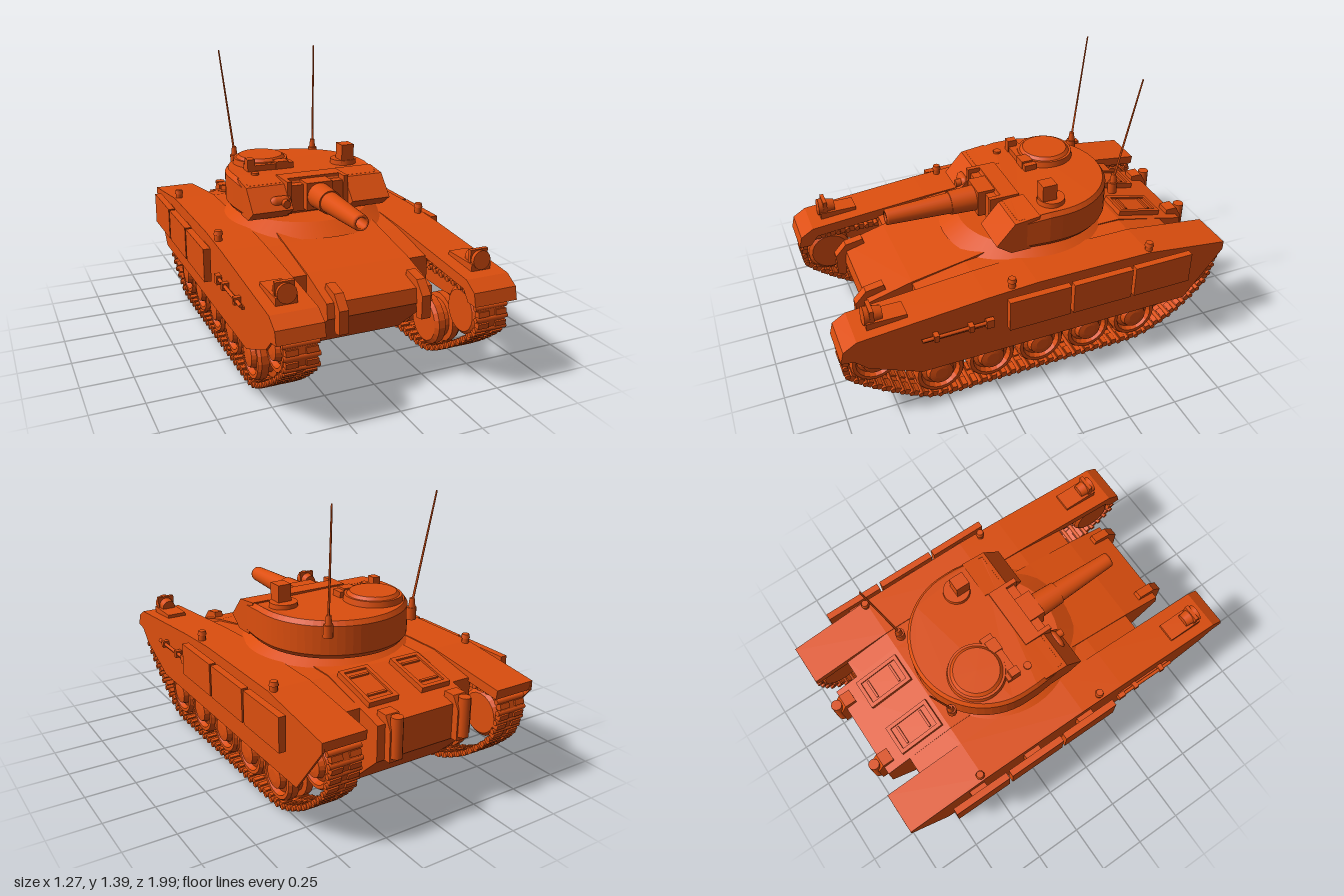
import * as THREE from 'three';
import { mergeGeometries } from 'three/addons/utils/BufferGeometryUtils.js';

const paint = new THREE.MeshStandardMaterial({ color: 0xdc4e0e });
const faceted = new THREE.MeshStandardMaterial({ color: 0xdc4e0e, flatShading: true });

export function createModel() {
  const model = new THREE.Group();

  const add = (name, geo, x = 0, y = 0, z = 0, mat = paint) => {
    const mesh = new THREE.Mesh(geo, mat);
    mesh.name = name;
    mesh.position.set(x, y, z);
    model.add(mesh);
    return mesh;
  };
  // box given by its x, y and z ranges
  const box = (name, x0, x1, y0, y1, z0, z1) =>
    add(name, new THREE.BoxGeometry(Math.abs(x1 - x0), y1 - y0, Math.abs(z1 - z0)), (x0 + x1) / 2, (y0 + y1) / 2, (z0 + z1) / 2);
  // side profile of [z, y] points, extruded across x
  const slab = (name, pts, xa, xb) => {
    const x0 = Math.min(xa, xb), x1 = Math.max(xa, xb);
    const shape = new THREE.Shape(pts.map(([z, y]) => new THREE.Vector2(z, y)));
    const geo = new THREE.ExtrudeGeometry(shape, { depth: x1 - x0, bevelEnabled: false });
    geo.rotateY(-Math.PI / 2).translate(x1, 0, 0);
    return add(name, geo);
  };
  const post = (name, r0, r1, h, x, y, z, n = 16) => add(name, new THREE.CylinderGeometry(r1, r0, h, n), x, y, z);
  const rod = (name, r0, r1, a, b, n = 8) => {
    const va = new THREE.Vector3(...a), d = new THREE.Vector3(...b).sub(va);
    const m = add(name, new THREE.CylinderGeometry(r1, r0, d.length(), n));
    m.position.copy(va).addScaledVector(d, 0.5);
    m.quaternion.setFromUnitVectors(new THREE.Vector3(0, 1, 0), d.normalize());
    return m;
  };

  // hull
  slab('hull', [[0.8, 0.4], [0.79, 0.47], [0.57, 0.53], [0.3, 0.58], [0.2, 0.6], [-0.55, 0.6], [-0.93, 0.51],
    [-0.93, 0.34], [-0.72, 0.14], [0.5, 0.14]], -0.26, 0.26);
  slab('sponson', [[0.57, 0.36], [0.57, 0.52], [0.3, 0.575], [0.1, 0.595], [-0.55, 0.595], [-0.8, 0.54], [-0.8, 0.25], [0.45, 0.25]], -0.365, 0.365);
  add('turretRing', new THREE.CylinderGeometry(0.34, 0.435, 0.055, 48), 0, 0.61, -0.115);

  // track loop, shared by both sides
  const loop = new THREE.CatmullRomCurve3([[0.975, 0.38], [0.96, 0.29], [0.8, 0.16], [0.57, 0.032], [0.3, 0.022], [0, 0.022], [-0.3, 0.022],
    [-0.57, 0.03], [-0.77, 0.125], [-0.93, 0.27], [-0.98, 0.42], [-0.95, 0.49], [-0.85, 0.5], [0, 0.46], [0.85, 0.46], [0.94, 0.44]]
    .map(([z, y]) => new THREE.Vector3(0, y, z)), true, 'catmullrom', 0.4);
  const links = 84, pieces = [];
  for (let i = 0; i < links; i++) {
    const p = loop.getPointAt(i / links), t = loop.getTangentAt(i / links);
    const parts = [
      new THREE.BoxGeometry(0.14, 0.013, 0.044),
      new THREE.BoxGeometry(0.055, 0.03, 0.026).translate(-0.045, 0, 0),
      new THREE.BoxGeometry(0.055, 0.03, 0.026).translate(0.045, 0, 0),
      new THREE.CylinderGeometry(0.013, 0.013, 0.165, 8).rotateZ(Math.PI / 2).translate(0, 0, 0.024)];
    for (const g of parts) pieces.push(g.rotateX(-Math.atan2(t.y, t.z)).translate(p.x, p.y, p.z));
  }
  const trackGeo = mergeGeometries(pieces);

  // wheel, its axis turned to x
  const wheelGeo = r => new THREE.LatheGeometry([[0, -0.07], [r * 0.85, -0.07], [r, -0.055], [r, -0.02], [r * 0.8, -0.015], [r * 0.8, 0.015],
    [r, 0.02], [r, 0.055], [r * 0.92, 0.07], [r * 0.78, 0.07], [r * 0.7, 0.045], [r * 0.55, 0.055], [r * 0.48, 0.08], [r * 0.25, 0.085], [0, 0.085]]
    .map(([a, b]) => new THREE.Vector2(a, b)), 20).rotateZ(-Math.PI / 2);
  const roadWheel = wheelGeo(0.125), endWheel = wheelGeo(0.115);

  const top = [[0.92, 0.53], [0.3, 0.585], [0.05, 0.6], [-0.55, 0.6], [-0.99, 0.545]];
  for (const s of [1, -1]) {
    // running gear
    add('track', trackGeo, s * 0.455, 0, 0);
    const wheel = (name, geo, y, z) => { add(name, geo, s * 0.455, y, z, faceted).rotation.y = s > 0 ? 0 : Math.PI; };
    for (let i = -2; i <= 2; i++) wheel('roadWheel', roadWheel, 0.165, i * 0.265);
    wheel('idlerWheel', endWheel, 0.345, 0.84);
    wheel('driveWheel', endWheel, 0.375, -0.855);

    // fender with drooping nose, and the side skirt
    slab('fender', [[1, 0.43], [0.985, 0.49], ...top, [-0.985, 0.5], [-0.55, 0.55], [0.05, 0.55], [0.3, 0.535], [0.9, 0.48], [0.94, 0.43]], s * 0.355, s * 0.565);
    slab('sideSkirt', [[1, 0.43], [0.985, 0.49], ...top, [-0.99, 0.5], [-0.79, 0.245], [0.63, 0.245], [0.88, 0.36], [0.94, 0.42]], s * 0.56, s * 0.572);
    for (const z of [-0.6, -0.27, 0.06]) {
      box('armourPanel', s * 0.6, s * 0.635, 0.41, 0.575, z - 0.157, z + 0.157);
      box('panelBracket', s * 0.565, s * 0.605, 0.45, 0.54, z - 0.045, z + 0.045);
    }
    // tool clipped to the skirt
    rod('toolHandle', 0.009, 0.009, [s * 0.592, 0.457, 0.29], [s * 0.592, 0.452, 0.63]);
    box('toolHead', s * 0.58, s * 0.605, 0.43, 0.475, 0.28, 0.32);
    for (const z of [0.38, 0.55]) box('toolClip', s * 0.568, s * 0.606, 0.435, 0.47, z, z + 0.025);
    box('toolRail', s * 0.57, s * 0.585, 0.43, 0.442, 0.3, 0.62);

    // headlight and fender posts
    box('headlightBase', s * 0.42, s * 0.52, 0.53, 0.57, 0.67, 0.86);
    rod('headlight', 0.045, 0.035, [s * 0.47, 0.585, 0.865], [s * 0.47, 0.578, 0.78], 16);
    box('headlightGuard', s * 0.425, s * 0.515, 0.56, 0.63, 0.82, 0.84);
    for (const z of [0.17, -0.56]) {
      post('fenderPost', 0.018, 0.018, 0.04, s * 0.545, 0.61, z, 10);
      post('postCap', 0.023, 0.018, 0.02, s * 0.545, 0.633, z, 10);
    }
    // tow hooks, rear lamps and engine deck
    slab('towHook', [[0.69, 0.49], [0.7, 0.525], [0.79, 0.51], [0.845, 0.45], [0.845, 0.34], [0.8, 0.33], [0.79, 0.45]], s * 0.18, s * 0.225);
    slab('rearBracket', [[-0.87, 0.51], [-0.87, 0.55], [-0.93, 0.55], [-0.965, 0.49], [-0.965, 0.34], [-0.92, 0.34]], s * 0.15, s * 0.22);
    rod('rearLamp', 0.028, 0.028, [s * 0.185, 0.36, -0.965], [s * 0.185, 0.55, -0.965], 12);
    const hatch = new THREE.Group();
    hatch.name = 'engineHatch';
    for (const [w, h, d, x, y, z] of [[0.16, 0.02, 0.25, 0, 0, 0], [0.16, 0.02, 0.02, 0, 0.01, 0.115], [0.16, 0.02, 0.02, 0, 0.01, -0.115],
      [0.02, 0.02, 0.25, 0.07, 0.01, 0], [0.02, 0.02, 0.25, -0.07, 0.01, 0], [0.1, 0.012, 0.012, 0, 0.013, 0.07], [0.1, 0.012, 0.012, 0, 0.013, -0.07]]) {
      const m = new THREE.Mesh(new THREE.BoxGeometry(w, h, d), paint);
      m.position.set(x, y, z);
      hatch.add(m);
    }
    hatch.position.set(s * 0.145, 0.573, -0.695);
    hatch.rotation.x = -Math.atan2(0.09, 0.38);
    model.add(hatch);

    // antenna
    post('antennaMount', 0.024, 0.024, 0.06, s * 0.235, 0.795, -0.51, 12);
    post('antennaBase', 0.018, 0.012, 0.05, s * 0.235, 0.845, -0.513, 12);
    rod('antenna', 0.006, 0.004, [s * 0.235, 0.84, -0.512], [s * 0.28, 1.39, -0.6], 6);

    // turret cheek
    slab('turretCheek', [[0, 0.645], [0.1, 0.645], [0.175, 0.7], [0.08, 0.805], [-0.05, 0.82]], s * 0.16, s * 0.37);
  }

  // turret body: round at the back, straight-sided in front, top falling forward
  const plan = [[0.35, -0.06], [0.365, 0.1]];
  for (let i = 0; i <= 32; i++) {
    const a = i * Math.PI / 32;
    plan.push([0.365 * Math.cos(a), 0.165 + 0.365 * Math.sin(a)]);
  }
  plan.push([-0.365, 0.1], [-0.35, -0.06]);
  const turret = new THREE.ExtrudeGeometry(new THREE.Shape(plan.map(([x, y]) => new THREE.Vector2(x, y))),
    { depth: 0.14, bevelThickness: 0.022, bevelSize: 0.016, bevelSegments: 1 }).rotateX(-Math.PI / 2).translate(0, 0.662, 0);
  const pos = turret.attributes.position;
  for (let i = 0; i < pos.count; i++) {
    const drop = Math.max(0, pos.getZ(i) + 0.1) * 0.1;
    if (pos.getY(i) > 0.75) pos.setY(i, pos.getY(i) - drop);
  }
  turret.computeVertexNormals();
  add('turret', turret);

  // mantlet and gun
  box('mantlet', -0.15, 0.14, 0.665, 0.8, 0, 0.11);
  for (const x of [-0.16, 0.145]) box('mantletSide', x - 0.012, x + 0.012, 0.66, 0.825, -0.03, 0.125);
  box('mantletTop', -0.15, 0.14, 0.79, 0.825, -0.03, 0.06);
  box('gunCradle', -0.08, 0.06, 0.675, 0.815, 0.05, 0.15);
  rod('gunSleeve', 0.068, 0.06, [-0.01, 0.745, 0.1], [-0.01, 0.745, 0.28], 24);
  const barrel = new THREE.LatheGeometry([[0.054, 0.27], [0.04, 0.6], [0.038, 0.61], [0.026, 0.61], [0.026, 0.5], [0, 0.5]]
    .map(([r, z]) => new THREE.Vector2(r, z)), 24).rotateX(Math.PI / 2);
  add('gunBarrel', barrel, -0.01, 0.745, 0);

  // gunner's port on the right cheek
  const port = add('gunPort', new THREE.CapsuleGeometry(0.032, 0.045, 4, 12).rotateZ(Math.PI / 2), -0.215, 0.73, 0.13);
  port.scale.z = 0.8;
  rod('coaxialGun', 0.02, 0.02, [-0.195, 0.73, 0.1], [-0.195, 0.73, 0.18], 12);

  // commander's cupola
  post('cupola', 0.148, 0.142, 0.035, -0.155, 0.836, -0.31, 36);
  post('cupolaLid', 0.135, 0.115, 0.02, -0.155, 0.858, -0.31, 36);
  box('cupolaStep', -0.285, -0.03, 0.815, 0.85, -0.21, -0.145);
  box('cupolaSight', -0.285, -0.245, 0.82, 0.885, -0.19, -0.14);
  box('cupolaBlock', -0.13, -0.06, 0.82, 0.86, -0.2, -0.14);
  post('turretPlug', 0.02, 0.02, 0.03, -0.265, 0.818, -0.085, 12);

  // periscope
  post('periscopeBase', 0.07, 0.068, 0.025, 0.26, 0.828, -0.155, 24);
  box('periscope', 0.225, 0.295, 0.82, 0.925, -0.17, -0.095);

  return model;
}
